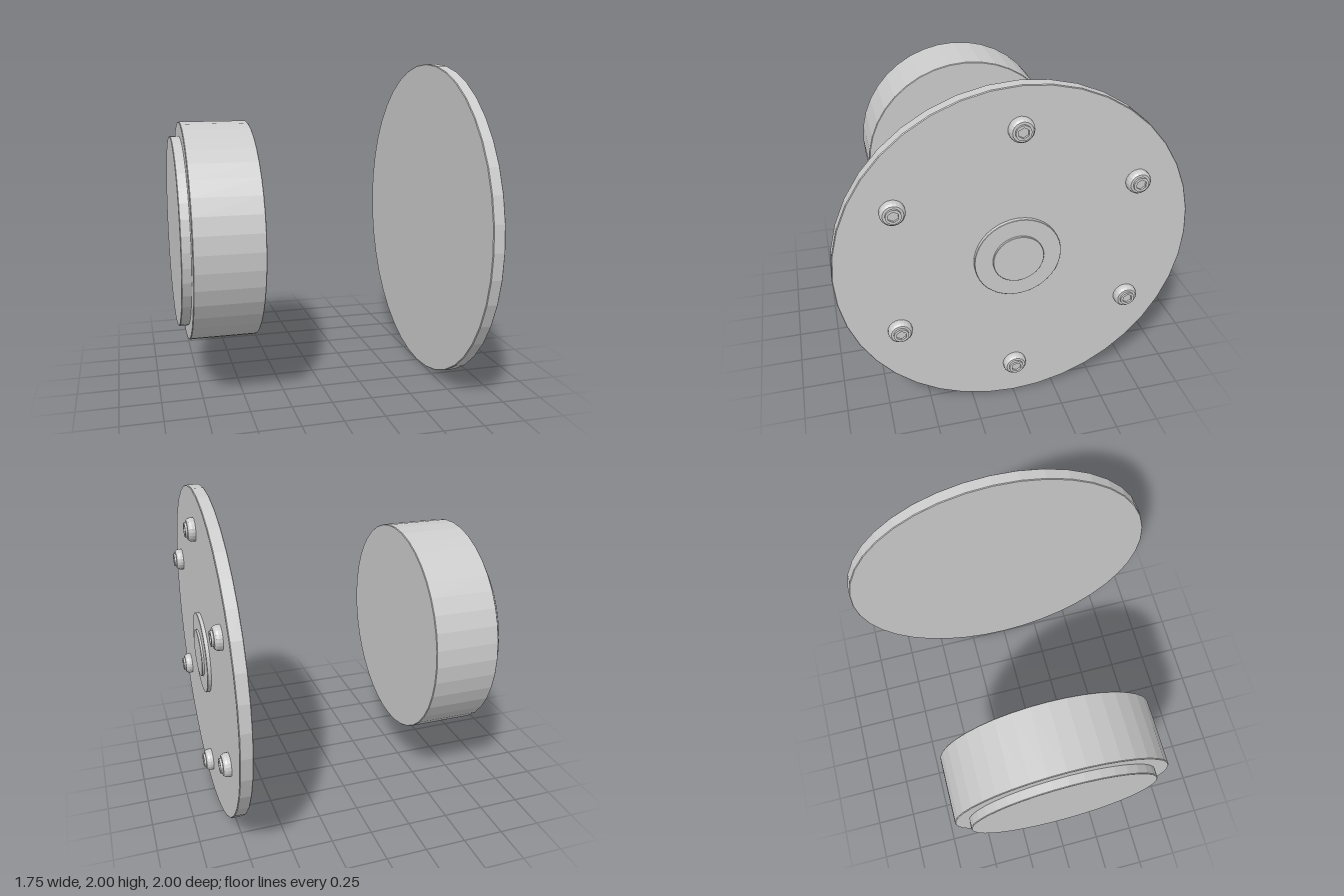
import * as THREE from 'three';

const SEG = 40;
const material = new THREE.MeshStandardMaterial({ color: 0xcccccc, flatShading: true });

// Closed disc along the x axis from x0 to x1, with a tiny edge chamfer
function disc(name, radius, x0, x1, chamfer = 0.004) {
  const profile = [
    [0, x0], [radius - chamfer, x0], [radius, x0 + chamfer],
    [radius, x1 - chamfer], [radius - chamfer, x1], [0, x1],
  ].map(([r, x]) => new THREE.Vector2(r, x));
  const mesh = new THREE.Mesh(new THREE.LatheGeometry(profile, SEG), material);
  mesh.geometry.rotateZ(-Math.PI / 2);
  mesh.name = name;
  return mesh;
}

// Domed bolt pointing along +x, with a shallow hexagonal socket in its tip
function bolt() {
  const group = new THREE.Group();
  const profile = [[0.068, 0], [0.068, 0.02], [0.064, 0.032], [0.055, 0.042], [0.042, 0.043], [0, 0.043]]
    .map(([r, x]) => new THREE.Vector2(r, x));
  const head = new THREE.Mesh(new THREE.LatheGeometry(profile, 20), material);
  head.geometry.rotateZ(-Math.PI / 2);
  head.name = 'boltHead';

  const ring = new THREE.Shape().absarc(0, 0, 0.042, 0, Math.PI * 2);
  const hex = [];
  for (let i = 0; i < 6; i++) {
    const a = (i * Math.PI) / 3 + Math.PI / 6;
    hex.push(new THREE.Vector2(0.03 * Math.cos(a), 0.03 * Math.sin(a)));
  }
  ring.holes.push(new THREE.Path(hex));
  const socket = new THREE.Mesh(
    new THREE.ExtrudeGeometry(ring, { depth: 0.012, bevelEnabled: false, curveSegments: 10 }), material);
  socket.geometry.rotateY(Math.PI / 2);
  socket.position.x = 0.043;
  socket.name = 'boltSocket';

  group.add(head, socket);
  return group;
}

export function createModel() {
  const model = new THREE.Group();
  model.name = 'wheelHubParts';

  // Drum with its raised end cap
  const drum = new THREE.Group();
  drum.name = 'drum';
  drum.add(disc('drumBody', 0.663, -0.82, -0.418), disc('drumCap', 0.577, -0.876, -0.815));

  // Large plate with a stepped hub
  const plate = new THREE.Group();
  plate.name = 'plate';
  plate.add(
    disc('plateDisc', 1, 0.748, 0.82),
    disc('hubRing', 0.244, 0.815, 0.842, 0.002),
    disc('hubCentre', 0.143, 0.835, 0.855, 0.002),
  );

  // Six bolts around the plate
  for (let i = 0; i < 6; i++) {
    const a = (i * Math.PI) / 3;
    const b = bolt();
    b.name = 'bolt' + (i + 1);
    b.position.set(0.82, 0.768 * Math.cos(a), 0.768 * Math.sin(a));
    plate.add(b);
  }

  drum.position.y = plate.position.y = 1;
  model.add(drum, plate);
  return model;
}
